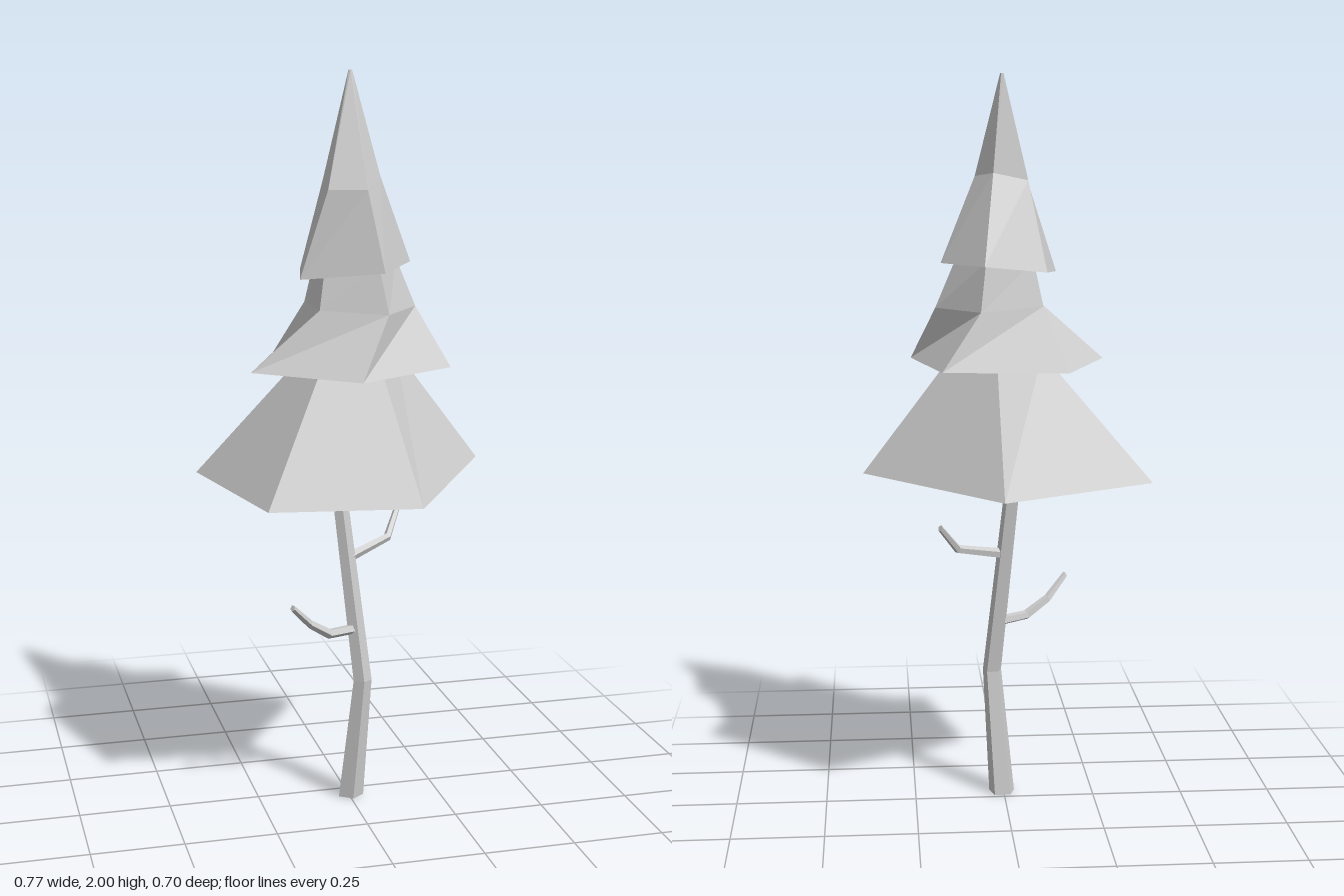
import * as THREE from 'three';

const V = (p) => new THREE.Vector3(...p);
const material = new THREE.MeshStandardMaterial({ color: 0xcccccc, flatShading: true });

// Skin a stack of equal-sized rings (anticlockwise about the growth axis), closed at both ends
function loft(name, rings) {
  const pos = [];
  const tri = (...pts) => pts.forEach((p) => pos.push(p.x, p.y, p.z));
  const n = rings[0].length;
  const middle = (r) => r.reduce((s, p) => s.add(p), new THREE.Vector3()).divideScalar(n);
  const first = rings[0], last = rings[rings.length - 1];
  const c0 = middle(first), c1 = middle(last);
  for (let i = 0; i < n; i++) {
    const j = (i + 1) % n;
    for (let k = 0; k + 1 < rings.length; k++) {
      const a = rings[k], b = rings[k + 1];
      tri(a[i], a[j], b[j]);
      tri(a[i], b[j], b[i]);
    }
    tri(c0, first[j], first[i]);
    tri(c1, last[i], last[j]);
  }
  const geo = new THREE.BufferGeometry();
  geo.setAttribute('position', new THREE.Float32BufferAttribute(pos, 3));
  geo.computeVertexNormals();
  const mesh = new THREE.Mesh(geo, material);
  mesh.name = name;
  return mesh;
}

// Bent limb: rings square to one axis, placed along a path of [x, y, z, radius]
function limb(name, path, sides, axis) {
  const w = V(axis).normalize();
  const u = new THREE.Vector3(0, 0, 1).addScaledVector(w, -w.z).normalize();
  const v = new THREE.Vector3().crossVectors(w, u);
  return loft(name, path.map(([x, y, z, r]) =>
    Array.from({ length: sides }, (_, i) => {
      const a = (i / sides) * Math.PI * 2;
      return V([x, y, z]).addScaledVector(u, r * Math.cos(a)).addScaledVector(v, r * Math.sin(a));
    })));
}

// Foliage tier: a hollowed underside, then the irregular five-sided rings from the rim up
function tier(name, rings, recess) {
  const r = rings.map((ring) => ring.map(V));
  const centre = r[0].reduce((s, p) => s.add(p), new THREE.Vector3()).divideScalar(5);
  const under = r[0].map((p) => {
    const q = p.clone().lerp(centre, 0.38);
    q.y = centre.y + recess;
    return q;
  });
  return loft(name, [under, ...r]);
}

export function createModel() {
  const tree = new THREE.Group();
  tree.name = 'tree';

  // Crooked trunk and two bare branches
  tree.add(limb('trunk', [
    [0.005, 0, 0.042, 0.037], [0.03, 0.35, 0.075, 0.027], [-0.03, 0.96, 0.013, 0.021],
  ], 5, [0, 1, 0]));
  tree.add(limb('leftBranch', [
    [0.005, 0.695, 0.04, 0.015], [0.13, 0.725, -0.025, 0.012], [0.18, 0.8, -0.092, 0.009],
  ], 5, [0.18, 0.09, -0.12]));
  tree.add(limb('rightBranch', [
    [0.01, 0.495, 0.065, 0.015], [-0.07, 0.5, 0.105, 0.014],
    [-0.13, 0.54, 0.125, 0.012], [-0.185, 0.6, 0.165, 0.009],
  ], 5, [-0.18, 0.08, 0.1]));

  // Foliage, each ring listed from the right side round the front to the back
  tree.add(tier('lowerFoliage', [
    [[-0.39, 0.92, -0.115], [-0.275, 0.9, 0.29], [0.12, 0.9, 0.35], [0.385, 0.94, -0.025], [0.025, 0.92, -0.35]],
    [[-0.1, 1.26, -0.02], [-0.09, 1.26, 0.14], [0.05, 1.26, 0.16], [0.135, 1.26, 0.03], [0.03, 1.26, -0.13]],
  ], 0.03));
  tree.add(tier('middleFoliage', [
    [[-0.28, 1.23, 0.11], [-0.035, 1.23, 0.325], [0.25, 1.23, 0.155], [0.175, 1.23, -0.165], [-0.155, 1.23, -0.195]],
    [[-0.1, 1.39, 0.13], [0.07, 1.38, 0.19], [0.185, 1.38, 0.04], [0.07, 1.38, -0.105], [-0.1, 1.39, -0.045]],
    [[-0.08, 1.51, 0.11], [0.05, 1.51, 0.16], [0.13, 1.51, 0.04], [0.055, 1.51, -0.08], [-0.075, 1.51, -0.03]],
  ], 0.02));
  tree.add(tier('upperFoliage', [
    [[-0.15, 1.47, 0.12], [0.055, 1.49, 0.207], [0.17, 1.5, 0.04], [0.06, 1.5, -0.11], [-0.11, 1.48, -0.05]],
    [[-0.077, 1.7, 0.13], [0.02, 1.7, 0.162], [0.075, 1.73, 0.08], [0.03, 1.74, 0.005], [-0.065, 1.72, 0.025]],
    [[0, 2, 0.042], [0.004, 2, 0.046], [0.009, 2, 0.042], [0.007, 2, 0.036], [0.001, 2, 0.036]],
  ], 0.015));

  return tree;
}
